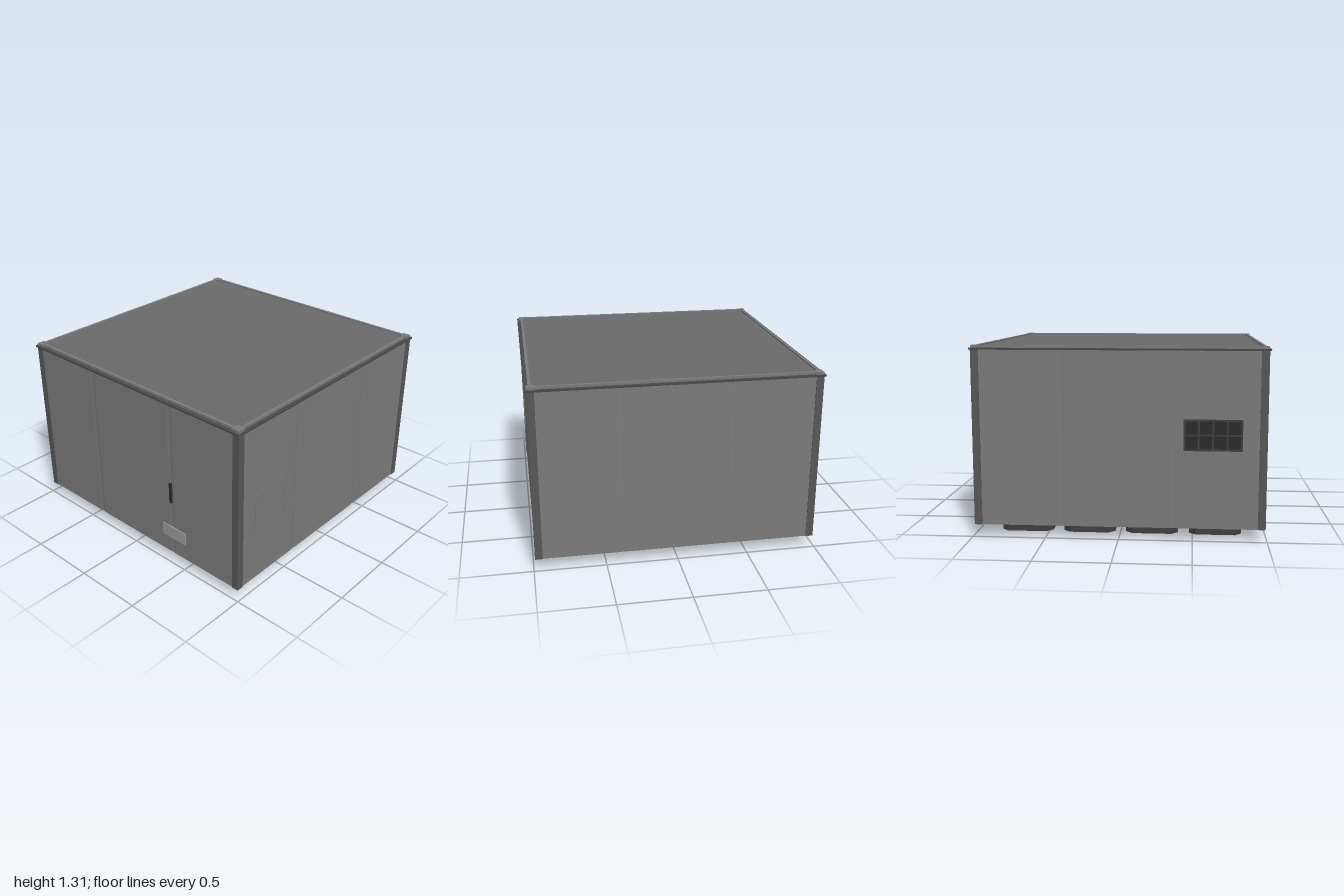
import * as THREE from 'three';

const paint = (color) => new THREE.MeshStandardMaterial({ color });
const steel = paint(0x7b7b7b);
const roofSteel = paint(0x6a6a6a);
const postSteel = paint(0x575757);
const ledgeSteel = paint(0x4a4a4a);
const light = paint(0x9a9a9a);
const frameDark = paint(0x404040);
const glass = paint(0xe0e0e0);
const blue = paint(0x1f55c8);
const dark = paint(0x2c2c2c);

function add(parent, name, geometry, material, x = 0, y = 0, z = 0) {
  const mesh = new THREE.Mesh(geometry, material);
  mesh.name = name;
  mesh.position.set(x, y, z);
  parent.add(mesh);
  return mesh;
}

const box = (w, h, d) => new THREE.BoxGeometry(w, h, d);

// Corner points of a square with half-width h and cut corners c
function cutSquare(h, c) {
  const k = h - c;
  return [[-k, -h], [k, -h], [h, -k], [h, k], [k, h], [-k, h], [-h, k], [-h, -k]]
    .map(([x, y]) => new THREE.Vector2(x, y));
}

// Plan outline raised into a prism standing on y = 0, optionally hollow
function prism(points, height, hole) {
  const shape = new THREE.Shape(points);
  if (hole) shape.holes.push(new THREE.Path(hole));
  return new THREE.ExtrudeGeometry(shape, { depth: height, bevelEnabled: false }).rotateX(-Math.PI / 2);
}

// Rounded rectangle, used for the hatch outline
function roundRect(target, w, h, r) {
  const x = w / 2, y = h / 2;
  target.absarc(x - r, y - r, r, 0, Math.PI / 2);
  target.absarc(-x + r, y - r, r, Math.PI / 2, Math.PI);
  target.absarc(-x + r, -y + r, r, Math.PI, Math.PI * 1.5);
  target.absarc(x - r, -y + r, r, Math.PI * 1.5, Math.PI * 2);
  target.closePath();
  return target;
}

// Plan of the walls: three panels a side, meeting in very shallow folds
function wallPlan() {
  const wall = 0.984, pts = [];
  const side = [[-wall, wall]];
  for (const s of [-0.38, 0.38]) side.push([s - 0.025, wall], [s, wall - 0.003], [s + 0.025, wall]);
  for (let k = 0; k < 4; k++) {
    for (const [u, v] of side) {
      pts.push(new THREE.Vector2(u, -v).rotateAround(new THREE.Vector2(), k * Math.PI / 2));
    }
  }
  return pts;
}

// One framed light unit under the floor
function lightUnit(x, z) {
  const unit = new THREE.Group();
  unit.name = 'lightUnit';
  unit.position.set(x, 0, z);
  const flange = prism(cutSquare(0.213, 0.06), 0.03, cutSquare(0.15, 0.04));
  const p = flange.attributes.position;
  for (let i = 0; i < p.count; i++) {
    if (p.getY(i) < 0.01) p.setXYZ(i, p.getX(i) * 0.95, 0, p.getZ(i) * 0.95);
  }
  flange.computeVertexNormals();
  add(unit, 'lightFlange', flange, light, 0, 0.055, 0);
  add(unit, 'lightFrame', prism(cutSquare(0.181, 0.045), 0.056, cutSquare(0.155, 0.04)), frameDark);
  add(unit, 'lightPane', prism(cutSquare(0.156, 0.04), 0.01), glass, 0, 0.04, 0);
  add(unit, 'lightTrim', prism(cutSquare(0.1555, 0.04), 0.01, cutSquare(0.152, 0.039)), blue, 0, 0.01, 0);
  return unit;
}

export function createModel() {
  const model = new THREE.Group();
  model.name = 'container';

  // Walls and floor, with the roof slightly below the rim
  add(model, 'housing', prism(wallPlan(), 1.205), steel, 0, 0.083, 0);
  add(model, 'roof', box(1.92, 0.015, 1.92), roofSteel, 0, 1.291, 0);

  // Drip ledge, then corner posts, raised rim, caps and joints on each side
  add(model, 'dripLedge', prism(cutSquare(1, 0.004), 0.012, cutSquare(0.95, 0.004)), ledgeSteel, 0, 1.28, 0);
  for (let k = 0; k < 4; k++) {
    const edge = new THREE.Group();
    edge.name = 'cornerAndRim';
    edge.rotation.y = k * Math.PI / 2;
    add(edge, 'cornerPost', box(0.052, 1.2, 0.052), postSteel, 0.963, 0.683, 0.963);
    add(edge, 'rimBar', box(1.88, 0.028, 0.02), steel, 0, 1.295, 0.963);
    for (const s of [-0.38, 0.38]) add(edge, 'rimJoint', box(0.03, 0.027, 0.026), steel, s, 1.295, 0.963);
    add(edge, 'cornerCap', box(0.056, 0.03, 0.056), steel, 0.958, 1.295, 0.958);
    model.add(edge);
  }

  // Four by four light units on the underside
  const rows = [-0.657, -0.219, 0.219, 0.657];
  for (const x of rows) for (const z of rows) model.add(lightUnit(x, z));

  // Small drain stubs under the left edge
  for (const z of [-0.28, -0.32, -0.36]) {
    add(model, 'drainStub', new THREE.CylinderGeometry(0.008, 0.008, 0.02, 12), steel, 0.92, 0.08, z);
  }

  // Front plate and slim handle
  add(model, 'frontPlate', box(0.22, 0.095, 0.012), light, 0.398, 0.26, 0.986);
  add(model, 'handle', box(0.022, 0.16, 0.014), dark, 0.375, 0.59, 0.986);

  // Hatch outline on the +x wall
  const hatchShape = roundRect(new THREE.Shape(), 0.31, 0.33, 0.035);
  hatchShape.holes.push(roundRect(new THREE.Path(), 0.302, 0.322, 0.031));
  const hatch = new THREE.ExtrudeGeometry(hatchShape, { depth: 0.006, bevelEnabled: false, curveSegments: 6 });
  add(model, 'hatchOutline', hatch, steel, 0.981, 0.605, 0.655).rotation.y = Math.PI / 2;

  // Vent grille of two rows by four on the -x wall
  const vent = new THREE.Group();
  vent.name = 'vent';
  vent.position.set(-0.984, 0.72, 0.63);
  add(vent, 'ventBack', box(0.004, 0.2, 0.38), dark);
  for (let i = 0; i <= 4; i++) add(vent, 'ventUpright', box(0.01, 0.212, 0.012), frameDark, 0, 0, -0.19 + i * 0.095);
  for (let j = -1; j <= 1; j++) add(vent, 'ventCrossbar', box(0.01, 0.012, 0.392), frameDark, 0, j * 0.1, 0);
  model.add(vent);

  return model;
}
